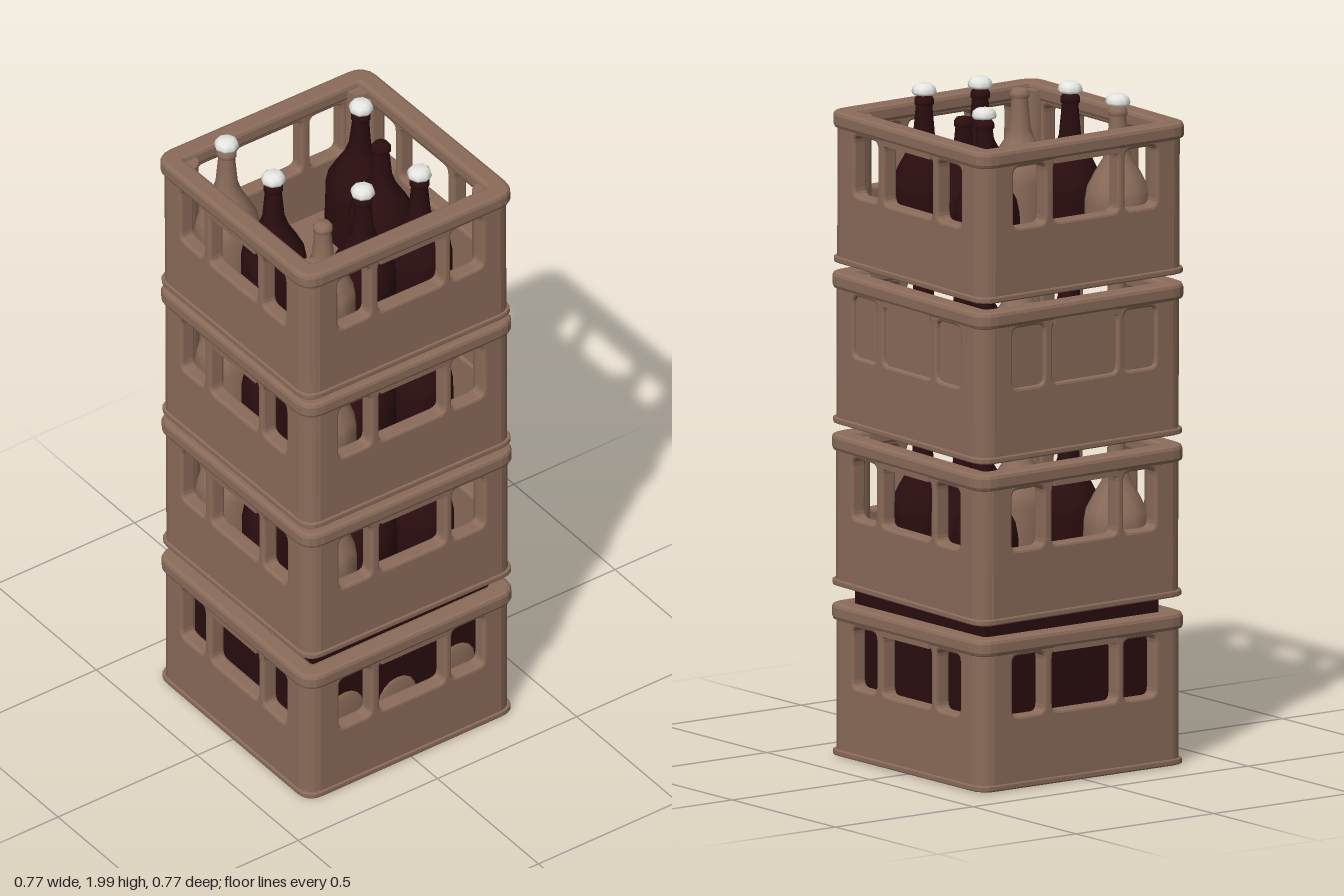
import * as THREE from 'three';

const brown = new THREE.MeshStandardMaterial({ name: 'cratePlastic', color: 0x8b6c5a });
const dark = new THREE.MeshStandardMaterial({ name: 'darkGlass', color: 0x2a0d0f });
const white = new THREE.MeshStandardMaterial({ name: 'whiteCap', color: 0xe8e8e5 });

function add(parent, name, geo, mat, x = 0, y = 0, z = 0) {
  const m = new THREE.Mesh(geo, mat);
  m.name = name;
  m.position.set(x, y, z);
  parent.add(m);
  return m;
}

// Rounded rectangle centred on cx, cy
function roundRect(target, cx, cy, w, h, r) {
  const x0 = cx - w / 2, x1 = cx + w / 2, y0 = cy - h / 2, y1 = cy + h / 2;
  target.moveTo(x0 + r, y0);
  target.lineTo(x1 - r, y0);
  target.quadraticCurveTo(x1, y0, x1, y0 + r);
  target.lineTo(x1, y1 - r);
  target.quadraticCurveTo(x1, y1, x1 - r, y1);
  target.lineTo(x0 + r, y1);
  target.quadraticCurveTo(x0, y1, x0, y1 - r);
  target.lineTo(x0, y0 + r);
  target.quadraticCurveTo(x0, y0, x0 + r, y0);
  return target;
}

// Square band lying flat, with softened edges, from y = 0 to y = height
function ringGeometry(outer, inner, height, bevel) {
  const s = roundRect(new THREE.Shape(), 0, 0, 2 * (outer - bevel), 2 * (outer - bevel), 0.05);
  s.holes.push(roundRect(new THREE.Path(), 0, 0, 2 * (inner + bevel), 2 * (inner + bevel), 0.02));
  const g = new THREE.ExtrudeGeometry(s, {
    depth: height - 2 * bevel, bevelSize: bevel, bevelThickness: bevel, bevelSegments: 2, curveSegments: 4,
  });
  g.translate(0, 0, bevel);
  g.rotateX(-Math.PI / 2);
  return g;
}

// Window centre, width
const windows = [[-0.2, 0.115], [0.005, 0.235], [0.205, 0.115]];
const winY = 0.302, winH = 0.18;

function wallGeometry() {
  const s = new THREE.Shape();
  s.moveTo(-0.325, 0.005);
  s.lineTo(0.325, 0.005);
  s.lineTo(0.325, 0.43);
  s.lineTo(-0.325, 0.43);
  s.closePath();
  for (const [x, w] of windows) s.holes.push(roundRect(new THREE.Path(), x, winY, w + 0.016, winH + 0.016, 0.03));
  const g = new THREE.ExtrudeGeometry(s, {
    depth: 0.034, bevelSize: 0.008, bevelThickness: 0.008, bevelSegments: 2, curveSegments: 4,
  });
  g.translate(0, 0, 0.328);
  return g;
}

const wallGeo = wallGeometry();
const rimGeo = ringGeometry(0.38, 0.315, 0.05, 0.012);
const footGeo = ringGeometry(0.376, 0.33, 0.018, 0.004);
const cornerGeo = new THREE.CylinderGeometry(0.05, 0.05, 0.43, 16);

// closedSides: quarter turns of the sides whose windows are blanked
function makeCrate(name, closedSides = []) {
  const crate = new THREE.Group();
  crate.name = name;
  for (let i = 0; i < 4; i++) {
    const side = new THREE.Group();
    side.name = 'crateSide';
    side.rotation.y = i * Math.PI / 2;
    crate.add(side);
    add(side, 'wall', wallGeo, brown);
    add(side, 'cornerPost', cornerGeo, brown, 0.32, 0.22, 0.32);
    add(side, 'handleLip', new THREE.BoxGeometry(0.23, 0.018, 0.012), brown, 0.005, 0.398, 0.371);
    if (closedSides.includes(i)) {
      for (const [x, w] of windows) {
        add(side, 'windowBlank', new THREE.BoxGeometry(w + 0.01, winH + 0.01, 0.03), brown, x, winY, 0.343);
      }
    }
  }
  add(crate, 'rim', rimGeo, brown, 0, 0.4, 0);
  add(crate, 'footRing', footGeo, brown);
  add(crate, 'floor', new THREE.BoxGeometry(0.67, 0.025, 0.67), brown, 0, 0.025, 0);
  return crate;
}

// Bottle with shoulders, neck and lip
const bottleProfile = [
  [0, 0], [0.092, 0], [0.1, 0.012], [0.1, 0.17], [0.093, 0.21], [0.07, 0.255], [0.046, 0.295],
  [0.034, 0.33], [0.025, 0.425], [0.03, 0.43], [0.03, 0.442], [0.021, 0.455], [0, 0.458],
].map(([r, y]) => new THREE.Vector2(r, y));
const bottleGeo = new THREE.LatheGeometry(bottleProfile, 10);
const capProfile = [[0, 0], [0.034, 0], [0.037, 0.008], [0.033, 0.022], [0.022, 0.03], [0, 0.032]]
  .map(([r, y]) => new THREE.Vector2(r, y));
const capGeo = new THREE.LatheGeometry(capProfile, 8);

// x, z, glass, capped, tilt
const bottles = [
  [-0.22, -0.235, brown, true, 0],
  [-0.208, -0.02, dark, true, 0],
  [-0.19, 0.2, brown, false, 0],
  [-0.035, 0.185, dark, true, 0],
  [0.15, 0.21, dark, true, 0],
  [0.175, -0.015, dark, false, 0],
  [0.203, -0.175, dark, true, 0.05],
];

function fillWithBottles(crate, withCaps) {
  for (const [x, z, glass, capped, tilt] of bottles) {
    const b = new THREE.Group();
    b.name = 'bottle';
    b.position.set(x, 0.038, z);
    b.rotation.x = tilt;
    crate.add(b);
    const body = add(b, 'bottleGlass', bottleGeo, glass);
    if (!capped) body.scale.y = 0.95;
    if (capped && withCaps) add(b, 'cap', capGeo, white, 0, 0.458, 0);
  }
}

export function createModel() {
  const model = new THREE.Group();
  model.name = 'crateStack';

  // Bottom crate with a solid dark load
  const bottom = makeCrate('bottomCrate');
  add(bottom, 'darkLoad', new THREE.BoxGeometry(0.63, 0.46, 0.63), dark, 0.003, 0.27, 0);
  const dome = new THREE.SphereGeometry(0.07, 12, 8);
  for (const [x, y] of [[-0.2, 0.22], [-0.01, 0.19], [0.2, 0.215]]) {
    const d = add(bottom, 'loadBump', dome, brown, x, y, 0.314);
    d.scale.z = 0.12;
  }
  model.add(bottom);

  // Upper crates, leaning very slightly
  const upper = [
    ['secondCrate', 0.502, [], 0.002],
    ['thirdCrate', 0.982, [1, 2], 0],
    ['topCrate', 1.458, [], -0.003],
  ];
  for (const [name, y, closed, x] of upper) {
    const crate = makeCrate(name, closed);
    crate.position.set(x, y, 0);
    crate.rotation.set(-0.018, 0, -0.01);
    fillWithBottles(crate, name === 'topCrate');
    model.add(crate);
  }
  return model;
}
